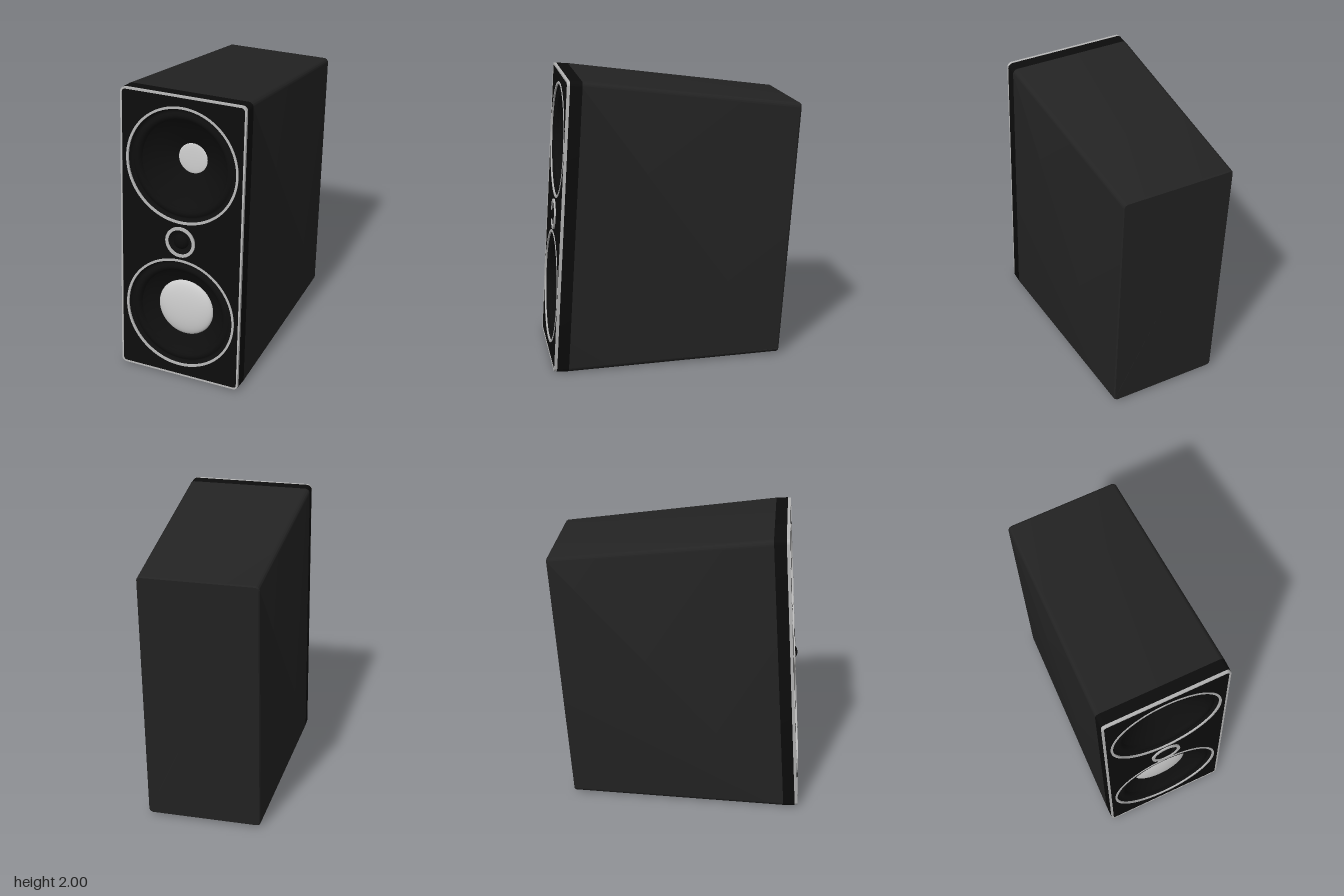
import * as THREE from 'three';
import { toCreasedNormals } from 'three/addons/utils/BufferGeometryUtils.js';

const TILT = 0.0674;      // backward lean of the whole cabinet
const H = 1.994;          // baffle height
const MID = H / 2;
const UPPER = 1.525, TWEETER = 1.0, LOWER = 0.476;   // driver centres on the baffle

const mat = (color, side = THREE.FrontSide) =>
  new THREE.MeshStandardMaterial({ color, side, roughness: 0.8 });
const cabinetMat = mat(0x232323);
const blackMat = mat(0x0c0c0c);
const coneMat = mat(0x0e0e0e, THREE.DoubleSide);
const trimMat = mat(0xb4b4b4);
const domeMat = mat(0xcccccc);

function roundedRect(hw, hh, r, Type = THREE.Shape) {
  const s = new Type();
  s.moveTo(hw, -hh + r);
  s.lineTo(hw, hh - r);
  s.absarc(hw - r, hh - r, r, 0, Math.PI / 2);
  s.lineTo(-hw + r, hh);
  s.absarc(-hw + r, hh - r, r, Math.PI / 2, Math.PI);
  s.lineTo(-hw, -hh + r);
  s.absarc(-hw + r, -hh + r, r, Math.PI, Math.PI * 1.5);
  s.lineTo(hw - r, -hh);
  s.absarc(hw - r, -hh + r, r, Math.PI * 1.5, Math.PI * 2);
  return s;
}

function circle(r, y = 0, Type = THREE.Path) {
  return new Type().absarc(0, y, r, 0, Math.PI * 2, false);
}

// Extrudes a shape between two depths
function slab(name, shape, z0, z1, material, y) {
  const geo = new THREE.ExtrudeGeometry(shape, { depth: z1 - z0, bevelEnabled: false, curveSegments: 48 });
  const mesh = new THREE.Mesh(toCreasedNormals(geo, 0.6), material);
  mesh.name = name;
  mesh.position.set(0, y, z0);
  return mesh;
}

// Turned part facing forward; profile is [radius, depth] from rim to centre
function turned(name, profile, material, y) {
  const geo = new THREE.LatheGeometry(profile.map(([r, z]) => new THREE.Vector2(r, z)), 64);
  geo.rotateX(Math.PI / 2);
  const mesh = new THREE.Mesh(geo, material);
  mesh.name = name;
  mesh.position.y = y;
  return mesh;
}

function ring(name, outer, inner, z0, z1, y) {
  const s = circle(outer, 0, THREE.Shape);
  s.holes.push(circle(inner));
  return slab(name, s, z0, z1, trimMat, y);
}

// Shallow spherical cap profile
function cap(r, base, height, n = 14) {
  return Array.from({ length: n + 1 }, (_, i) => {
    const a = (1 - i / n) * Math.PI / 2;
    return [r * Math.sin(a), base + height * Math.cos(a)];
  });
}

// Tapered shell lofted through rounded rectangles, closed at the back
function cabinetGeometry() {
  const sections = [   // [z, half width, half height, centre y, corner radius]
    [-0.1, 0.44, 0.997, MID, 0.035],
    [-1.58, 0.393, 0.892, 1.006, 0.03],
    [-1.59, 0.386, 0.885, 1.006, 0.025],
  ];
  const pos = [], idx = [];
  let n = 0;
  for (const [z, hw, hh, cy, r] of sections) {
    const pts = roundedRect(hw, hh, r).getPoints(8);
    n = pts.length;
    for (const p of pts) pos.push(p.x, p.y + cy, z);
  }
  for (let s = 0; s < sections.length - 1; s++) {
    for (let i = 0; i < n; i++) {
      const j = (i + 1) % n;
      const a = s * n + i, b = s * n + j, c = a + n, d = b + n;
      idx.push(a, c, b, b, c, d);
    }
  }
  const last = (sections.length - 1) * n, centre = pos.length / 3;
  pos.push(0, 1.006, -1.59);
  for (let i = 0; i < n; i++) idx.push(centre, last + (i + 1) % n, last + i);
  const geo = new THREE.BufferGeometry();
  geo.setAttribute('position', new THREE.Float32BufferAttribute(pos, 3));
  geo.setIndex(idx);
  return toCreasedNormals(geo, 0.5);
}

// Plate with openings for the three drivers
function plate(hw, hh, r) {
  const s = roundedRect(hw, hh, r);
  for (const [y, rad] of [[UPPER, 0.384], [TWEETER, 0.088], [LOWER, 0.384]]) {
    s.holes.push(circle(rad, y - MID));
  }
  return s;
}

export function createModel() {
  const root = new THREE.Group();
  root.name = 'loudspeaker';
  const body = new THREE.Group();
  body.name = 'tiltedBody';
  body.rotation.x = -TILT;
  body.position.set(0, 0.007, 0.853);
  root.add(body);

  const cabinet = new THREE.Mesh(cabinetGeometry(), cabinetMat);
  cabinet.name = 'cabinet';
  body.add(cabinet);

  // Front frame, baffle and bright edge trim
  body.add(slab('frontFrame', plate(0.44, MID, 0.035), -0.1, -0.02, blackMat, MID));
  body.add(slab('baffle', plate(0.426, MID - 0.013, 0.024), -0.02, -0.003, blackMat, MID));
  const edge = roundedRect(0.438, MID - 0.001, 0.034);
  edge.holes.push(roundedRect(0.426, MID - 0.013, 0.024, THREE.Path));
  body.add(slab('edgeTrim', edge, -0.02, 0, trimMat, MID));

  // Two large drivers: rolled surround, cone and bright centre cap
  const drivers = [
    { name: 'upper', y: UPPER, capR: 0.103, base: -0.175, bulge: 0.008 },
    { name: 'lower', y: LOWER, capR: 0.2, base: -0.105, bulge: 0.045 },
  ];
  for (const { name, y, capR, base, bulge } of drivers) {
    const group = new THREE.Group();
    group.name = name + 'Driver';
    group.position.y = y;
    group.add(ring('driverRing', 0.397, 0.381, -0.02, 0.001, 0));
    group.add(turned('surround', [
      [0.386, -0.004], [0.374, -0.018], [0.362, -0.03], [0.35, -0.02], [0.335, -0.013],
      [0.32, -0.015], [0.307, -0.025], [0.3, -0.042],
    ], coneMat, 0));
    const cone = [];
    for (let i = 0; i <= 8; i++) {
      const t = i / 8;
      cone.push([THREE.MathUtils.lerp(0.3, capR - 0.004, t),
        THREE.MathUtils.lerp(-0.042, base - 0.003, Math.pow(t, 0.85))]);
    }
    group.add(turned('cone', cone, coneMat, 0));
    group.add(turned('centreCap', cap(capR, base, bulge), domeMat, 0));
    body.add(group);
  }

  // Tweeter: bright ring, dished seat and small dome
  const tweeter = new THREE.Group();
  tweeter.name = 'tweeter';
  tweeter.position.y = TWEETER;
  tweeter.add(ring('tweeterRing', 0.106, 0.085, -0.02, 0.008, 0));
  tweeter.add(turned('tweeterSeat', [[0.088, 0.004], [0.075, -0.012], [0.05, -0.018], [0, -0.018]], coneMat, 0));
  tweeter.add(turned('tweeterDome', cap(0.052, -0.018, 0.04), blackMat, 0));
  body.add(tweeter);

  return root;
}
